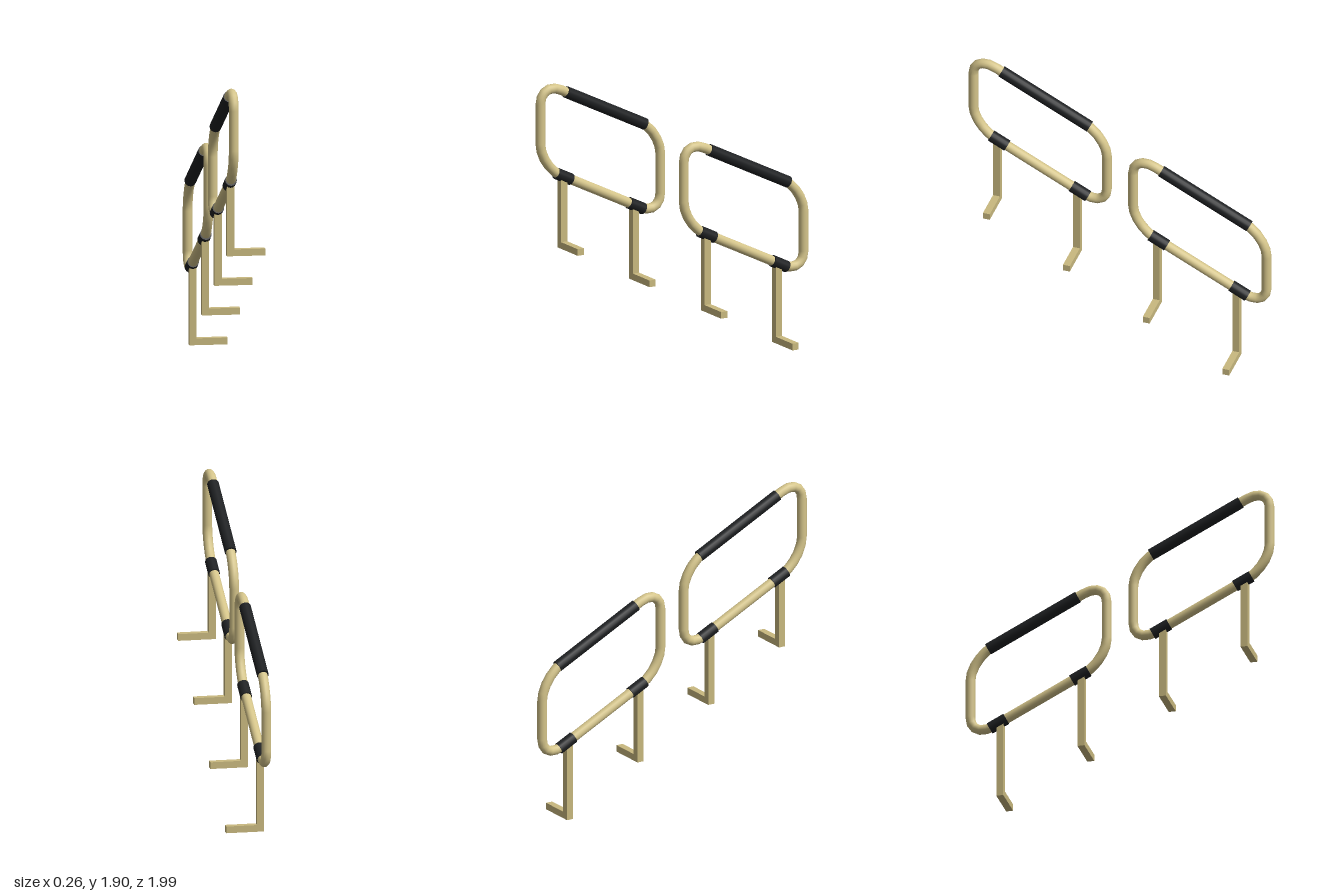
import * as THREE from 'three';

const X = -0.094;          // plane of the rails
const SLOPE = 0.5;         // stair pitch
const ARC_STEPS = 5;
const HALF_W = 0.44, HALF_H = 0.276, CORNER = 0.15;

// Closed rounded rectangle, sheared along the stair pitch (local z, y)
class SlopedLoop extends THREE.Curve {
  angleAt(i) {
    const per = ARC_STEPS + 1;
    const n = ((i % (4 * per)) + 4 * per) % (4 * per);
    const corner = Math.floor(n / per);
    return { corner, a: (corner + (n % per) / ARC_STEPS) * Math.PI / 2 };
  }
  getPointAt(u) {
    const { corner, a } = this.angleAt(Math.round(u * 4 * (ARC_STEPS + 1)));
    const sz = corner === 0 || corner === 3 ? 1 : -1;
    const sy = corner < 2 ? 1 : -1;
    const z = sz * (HALF_W - CORNER) + CORNER * Math.cos(a);
    const v = sy * (HALF_H - CORNER) + CORNER * Math.sin(a);
    return new THREE.Vector3(0, v + SLOPE * z, z);
  }
  getTangentAt(u) {
    const { a } = this.angleAt(Math.round(u * 4 * (ARC_STEPS + 1)));
    const dz = -Math.sin(a);
    return new THREE.Vector3(0, Math.cos(a) + SLOPE * dz, dz).normalize();
  }
  getPoint(u) { return this.getPointAt(u); }
}

export function createModel() {
  const model = new THREE.Group();
  const wood = new THREE.MeshStandardMaterial({ color: 0xd4c48a });
  const post = new THREE.MeshStandardMaterial({ color: 0xc9b97f });
  const black = new THREE.MeshStandardMaterial({ color: 0x1e2022 });

  const add = (parent, name, geometry, material, x, y, z) => {
    const mesh = new THREE.Mesh(geometry, material);
    mesh.name = name;
    mesh.position.set(x, y, z);
    parent.add(mesh);
    return mesh;
  };

  // Black sleeve lying along the pitch
  const sleeve = (parent, name, z, v, length) => {
    const geometry = new THREE.CylinderGeometry(0.037, 0.037, length, 16);
    const mesh = add(parent, name, geometry, black, 0, v + SLOPE * z, z);
    mesh.rotation.x = Math.PI / 2 - Math.atan(SLOPE);
  };

  const loop = new THREE.TubeGeometry(new SlopedLoop(), 4 * (ARC_STEPS + 1), 0.031, 16, true);

  // Two railing loops stepping down towards the back
  [[0.527, 1.437], [-0.525, 0.912]].forEach(([z, y], i) => {
    const rail = new THREE.Group();
    rail.name = i === 0 ? 'upperRail' : 'lowerRail';
    rail.position.set(X, y, z);
    add(rail, 'railLoop', loop, wood, 0, 0, 0);
    sleeve(rail, 'handGrip', -0.036, HALF_H, 0.65);
    sleeve(rail, 'rearCollar', -0.262, -HALF_H, 0.12);
    sleeve(rail, 'frontCollar', 0.27, -HALF_H, 0.12);
    model.add(rail);
  });

  // Square posts with a foot pointing to one side
  const W = 0.045;
  [[0.807, 0.837, 1.29], [0.28, 0.559, 1.03], [-0.246, 0.28, 0.765], [-0.77, 0, 0.505]]
    .forEach(([z, bottom, top], i) => {
      const leg = new THREE.Group();
      leg.name = `post${i + 1}`;
      const h = top - bottom;
      add(leg, 'upright', new THREE.BoxGeometry(W, h, W), post, -0.092, bottom + h / 2, z);
      add(leg, 'foot', new THREE.BoxGeometry(0.196, 0.043, W), post, 0.028, bottom + 0.0215, z);
      model.add(leg);
    });

  return model;
}
